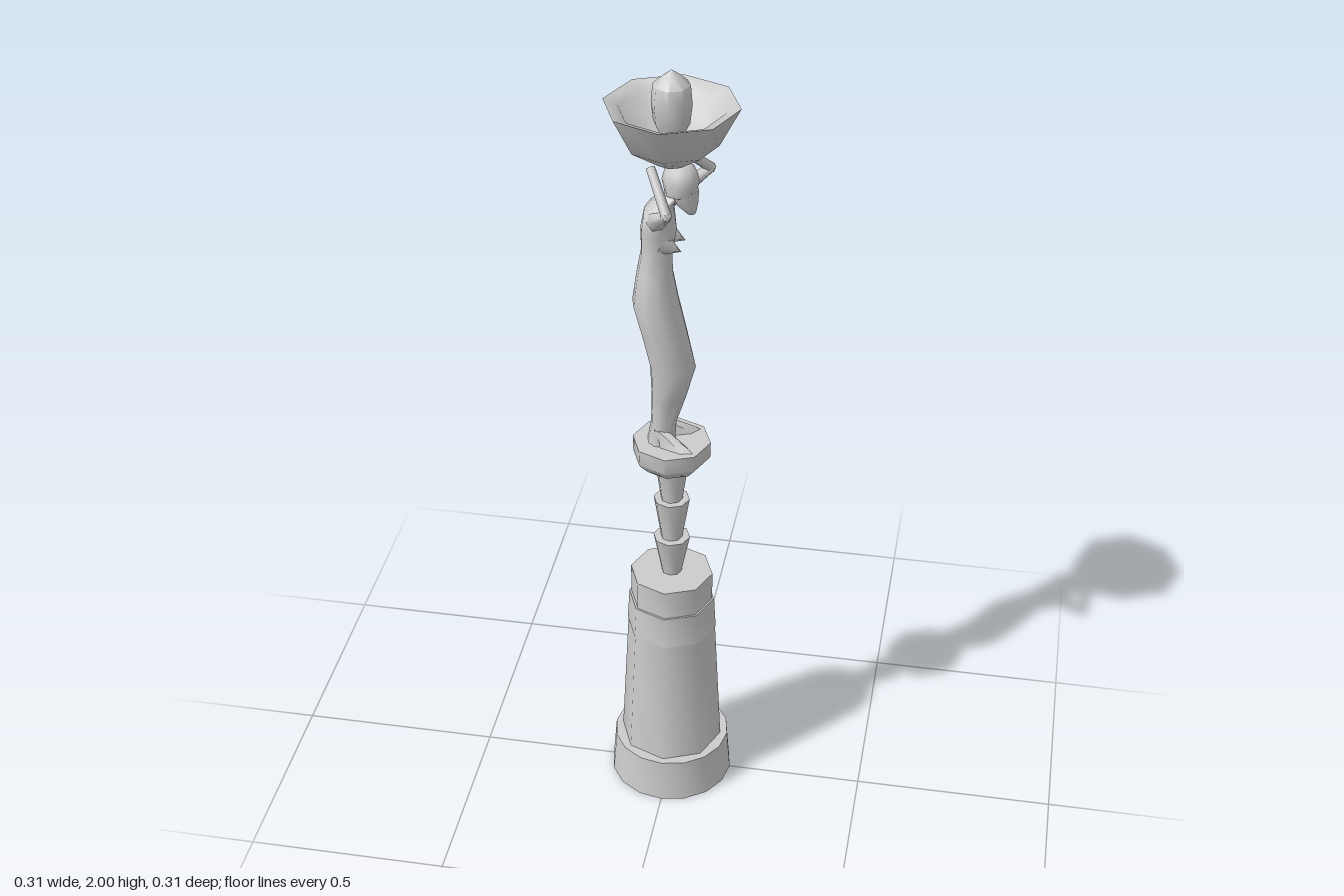
import * as THREE from 'three';
import { toCreasedNormals, mergeVertices } from 'three/addons/utils/BufferGeometryUtils.js';

const material = new THREE.MeshStandardMaterial({ color: 0xcccccc, side: THREE.DoubleSide });

function add(parent, name, geometry, crease = 0.9) {
  const mesh = new THREE.Mesh(toCreasedNormals(geometry, crease), material);
  mesh.name = name;
  parent.add(mesh);
  return mesh;
}

// Turned part from [radius, height] pairs, bottom to top
function turned(parent, name, profile, sides = 8) {
  const points = profile.map(([r, y]) => new THREE.Vector2(r, y));
  return add(parent, name, new THREE.LatheGeometry(points, sides));
}

// Closed skin over elliptical sections [y, centreX, centreZ, radiusX, radiusZ]
function loft(sections, sides = 10) {
  const positions = [], index = [];
  for (const [y, cx, cz, rx, rz] of sections) {
    for (let i = 0; i < sides; i++) {
      const a = (i / sides) * Math.PI * 2;
      positions.push(cx + rx * Math.cos(a), y, cz + rz * Math.sin(a));
    }
  }
  for (let s = 0; s < sections.length - 1; s++) {
    for (let i = 0; i < sides; i++) {
      const a = s * sides + i, b = s * sides + (i + 1) % sides;
      index.push(a, a + sides, b, b, a + sides, b + sides);
    }
  }
  const top = (sections.length - 1) * sides;
  for (let i = 1; i < sides - 1; i++) {
    index.push(0, i, i + 1, top, top + i + 1, top + i);
  }
  const geometry = new THREE.BufferGeometry();
  geometry.setAttribute('position', new THREE.Float32BufferAttribute(positions, 3));
  geometry.setIndex(index);
  return geometry;
}

// Tapered limb between two points
function limb(parent, name, from, to, r0, r1) {
  const a = new THREE.Vector3(...from), b = new THREE.Vector3(...to);
  const dir = b.clone().sub(a);
  const mesh = add(parent, name, new THREE.CylinderGeometry(r1, r0, dir.length(), 6), 1.2);
  mesh.position.copy(a).add(b).multiplyScalar(0.5);
  mesh.quaternion.setFromUnitVectors(new THREE.Vector3(0, 1, 0), dir.normalize());
}

function createFigure() {
  const figure = new THREE.Group();
  figure.name = 'figure';

  // Robed body swaying from ankles to neck, facing +x
  add(figure, 'body', loft([
    [1.03, -0.025, 0, 0.034, 0.042],
    [1.08, -0.02, -0.004, 0.031, 0.037],
    [1.16, -0.006, 0.004, 0.042, 0.05],
    [1.25, 0.005, 0.012, 0.055, 0.061],
    [1.34, -0.015, 0.013, 0.055, 0.066],
    [1.42, -0.035, 0.012, 0.056, 0.068],
    [1.5, -0.038, 0.007, 0.042, 0.054],
    [1.55, -0.034, 0.005, 0.037, 0.047],
    [1.61, -0.03, 0.001, 0.042, 0.058],
    [1.655, -0.03, -0.002, 0.034, 0.071],
    [1.675, -0.018, -0.003, 0.026, 0.045],
    [1.69, 0, -0.004, 0.02, 0.021],
    [1.72, 0.012, -0.004, 0.018, 0.019],
  ]), 1.2);

  for (const side of [1, -1]) {
    // Bust
    const bust = add(figure, 'bust', new THREE.ConeGeometry(0.03, 0.05, 6), 1.2);
    bust.position.set(0.004, 1.573, side * 0.028);
    bust.rotation.z = -Math.PI / 2 - 0.35;

    // Feet turned outward
    const foot = add(figure, 'foot', loft([
      [1.028, 0.045, 0, 0.055, 0.02],
      [1.043, 0.035, 0, 0.043, 0.016],
      [1.07, 0.005, 0, 0.016, 0.013],
    ], 6), 0.9);
    foot.position.set(-0.03, 0, side * 0.022);
    foot.rotation.y = -side * 0.35;
  }

  // Head with a hair cap above the brow
  const head = add(figure, 'head', loft([
    [1.65, 0.045, -0.005, 0.01, 0.014],
    [1.675, 0.034, -0.005, 0.026, 0.029],
    [1.71, 0.026, -0.005, 0.036, 0.035],
  ], 8), 1.2);
  head.name = 'face';
  add(figure, 'hair', loft([
    [1.7, 0.018, -0.005, 0.036, 0.039],
    [1.73, 0.02, -0.005, 0.044, 0.043],
    [1.757, 0.02, -0.005, 0.037, 0.036],
    [1.775, 0.018, -0.005, 0.018, 0.018],
  ], 8), 1.2);

  // Raised arms holding the bowl: shoulder, elbow, hand
  const arms = {
    left: [[-0.028, 1.648, 0.05], [0.01, 1.703, 0.122], [-0.038, 1.785, 0.055]],
    right: [[-0.022, 1.648, -0.05], [0.068, 1.703, -0.132], [0.015, 1.785, -0.048]],
  };
  for (const [side, [shoulder, elbow, hand]] of Object.entries(arms)) {
    limb(figure, side + 'UpperArm', shoulder, elbow, 0.023, 0.013);
    limb(figure, side + 'Forearm', elbow, hand, 0.013, 0.011);
    const joint = add(figure, side + 'Elbow', mergeVertices(new THREE.IcosahedronGeometry(0.0135, 0)), 1.2);
    joint.position.set(...elbow);
  }
  return figure;
}

export function createModel() {
  const model = new THREE.Group();
  model.name = 'statueLamp';

  // Pedestal: hollow foot, tapered shaft, collar and cap
  turned(model, 'pedestalFoot', [[0.157, 0], [0.148, 0.115], [0.1, 0.115]], 16);
  turned(model, 'pedestalShaft', [[0, 0.1], [0.131, 0.1], [0.112, 0.475], [0, 0.475]]);
  turned(model, 'pedestalCollar', [[0.114, 0.47], [0.109, 0.557], [0, 0.557]]);
  turned(model, 'pedestalCap', [[0.104, 0.55], [0.104, 0.635], [0, 0.635]]);

  // Stem of three stacked flared cups
  const cups = [[0.635, 0.742, 0.025, 0.046], [0.742, 0.857, 0.027, 0.045], [0.857, 0.965, 0.027, 0.042]];
  for (const [y0, y1, r0, r1] of cups) {
    turned(model, 'stemCup', [[0, y0], [r0, y0], [r1, y1], [0, y1]]);
  }

  // Plinth under the figure
  turned(model, 'plinth', [[0, 0.96], [0.07, 0.96], [0.095, 0.988], [0.096, 1.03], [0, 1.03]]);

  model.add(createFigure());

  // Bowl with a sloping lip and hollow inside
  turned(model, 'bowl', [
    [0, 1.768], [0.035, 1.775], [0.108, 1.825], [0.156, 1.918],
    [0.122, 1.905], [0.09, 1.85], [0.03, 1.828], [0, 1.826],
  ]);

  // Pointed flame standing in the bowl
  turned(model, 'flame', [
    [0, 1.825], [0.022, 1.83], [0.042, 1.875], [0.047, 1.92], [0.043, 1.965], [0.02, 1.985], [0, 2],
  ]);
  return model;
}
